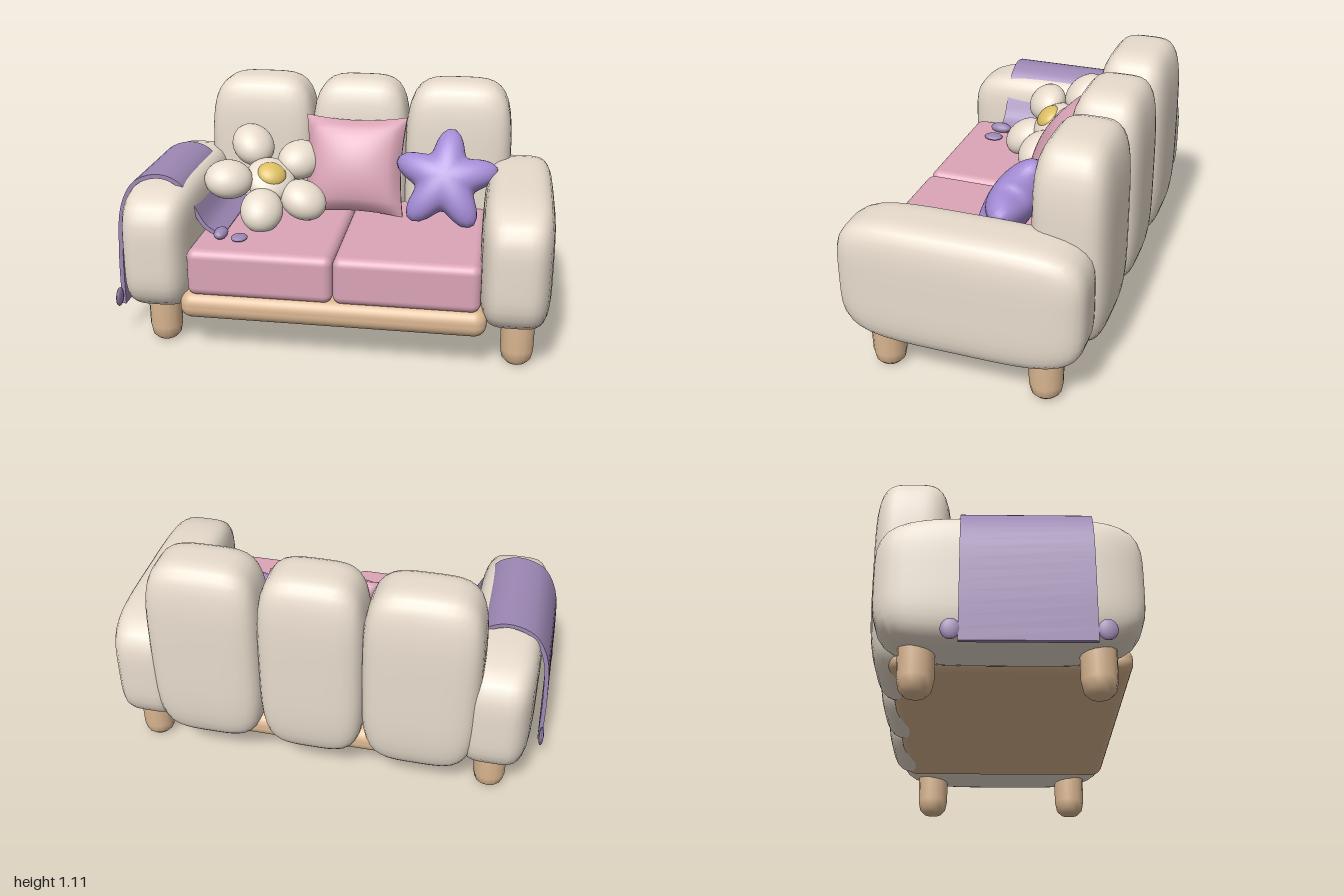
import * as THREE from 'three';
import { mergeVertices, toCreasedNormals } from 'three/addons/utils/BufferGeometryUtils.js';
import { RoundedBoxGeometry } from 'three/addons/geometries/RoundedBoxGeometry.js';

const mat = (color) => new THREE.MeshStandardMaterial({ color });
const CREAM = mat(0xe8dccd), PINK = mat(0xdba5b7), WOOD = mat(0xdcb892);
const LILAC = mat(0x9d88b5), VIOLET = mat(0xa48cd6), GOLD = mat(0xdcbe62);

// Move every vertex by a rule, weld the seams and smooth
function reshape(geometry, rule) {
  geometry.deleteAttribute('uv');
  geometry.deleteAttribute('normal');
  const p = geometry.attributes.position, v = new THREE.Vector3();
  for (let i = 0; i < p.count; i++) {
    rule(v.fromBufferAttribute(p, i));
    p.setXYZ(i, v.x, v.y, v.z);
  }
  const welded = mergeVertices(geometry, 1e-4);
  welded.computeVertexNormals();
  return welded;
}

// Puffy block between two corners; a higher power is squarer
function puff(min, max, power) {
  const half = max.map((m, i) => (m - min[i]) / 2);
  const g = reshape(new THREE.BoxGeometry(2, 2, 2, 12, 12, 12), (v) => {
    const s = Math.abs(v.x) ** power + Math.abs(v.y) ** power + Math.abs(v.z) ** power;
    v.multiplyScalar(s ** (-1 / power));
    v.set(v.x * half[0], v.y * half[1], v.z * half[2]);
  });
  return g.translate(...max.map((m, i) => (m + min[i]) / 2));
}

// Box with rounded edges between two corners
function block(min, max, radius) {
  const size = max.map((m, i) => m - min[i]);
  return new RoundedBoxGeometry(...size, 4, radius).translate(...max.map((m, i) => (m + min[i]) / 2));
}

export function createModel() {
  const sofa = new THREE.Group();
  sofa.name = 'sofa';
  const add = (name, geometry, material, parent = sofa) => {
    const mesh = new THREE.Mesh(geometry, material);
    mesh.name = name;
    parent.add(mesh);
    return mesh;
  };

  // Frame and seat
  add('base', block([-0.66, 0.165, -0.48], [0.72, 0.29, 0.535], 0.055), WOOD);
  add('rightSeatCushion', block([-0.62, 0.28, -0.32], [0.04, 0.5, 0.525], 0.04), PINK);
  add('leftSeatCushion', block([0.04, 0.28, -0.32], [0.69, 0.5, 0.525], 0.04), PINK);

  // Arms
  add('rightArm', puff([-0.94, 0.17, -0.53], [-0.605, 0.755, 0.565], 4.5), CREAM);
  add('leftArm', puff([0.675, 0.17, -0.53], [1, 0.755, 0.565], 4.5), CREAM);

  // Back cushions
  [[-0.705, -0.18], [-0.195, 0.285], [0.27, 0.79]].forEach(([a, b]) => {
    add('backCushion', puff([a, 0.165, -0.565], [b, 1.108, -0.225], 4.2), CREAM);
  });

  // Legs
  const legProfile = [[0, 0], [0.045, 0.003], [0.066, 0.025], [0.075, 0.07], [0.077, 0.25]]
    .map(([r, y]) => new THREE.Vector2(r, y));
  for (const x of [-0.77, 0.857]) {
    for (const z of [0.375, -0.35]) {
      add('leg', new THREE.LatheGeometry(legProfile, 14), WOOD).position.set(x, 0, z);
    }
  }

  // Square pillow: full in the middle, pinched edges, pointed corners
  const pillow = add('squarePillow', reshape(new THREE.BoxGeometry(2, 2, 2, 16, 16, 4), (v) => {
    const { x, y, z } = v;
    const full = Math.sqrt((1 - x * x) * (1 - y * y));
    v.set(0.245 * x * (1 - 0.08 * (1 - y * y)), 0.24 * y * (1 - 0.09 * (1 - x * x)), z * (0.012 + 0.1 * full));
  }), PINK);
  pillow.position.set(0.045, 0.72, -0.145);
  pillow.rotation.x = -0.33;

  // Star pillow: a flattened ball whose outline swells into five points
  const star = add('starPillow', reshape(new THREE.SphereGeometry(1, 50, 20).rotateX(Math.PI / 2), (v) => {
    const ring = Math.hypot(v.x, v.y);
    const lobe = Math.cos(5 * (Math.atan2(v.y, v.x) - Math.PI / 2));
    const r = 0.2 + 0.053 * lobe * ring;
    v.set(v.x * r, v.y * r, v.z * 0.105);
  }), VIOLET);
  star.position.set(0.49, 0.69, -0.07);
  star.rotation.set(-0.5, 0, -0.07);

  // Flower pillow: five flattened petals around a core
  const flower = new THREE.Group();
  flower.name = 'flowerPillow';
  sofa.add(flower);
  const core = new THREE.Vector3(-0.34, 0.68, 0.01);
  const up = new THREE.Vector3(0.3, 0.78, 0.55).normalize();
  const ball = (name, centre, along, scale, material) => {
    const x = along.clone().addScaledVector(up, -along.dot(up)).normalize();
    const y = new THREE.Vector3().crossVectors(up, x);
    const mesh = add(name, new THREE.SphereGeometry(1, 24, 16), material, flower);
    mesh.quaternion.setFromRotationMatrix(new THREE.Matrix4().makeBasis(x, y, up));
    mesh.position.copy(centre);
    mesh.scale.set(...scale);
  };
  [[-0.45, 0.81, -0.12], [-0.22, 0.745, -0.12], [-0.175, 0.595, 0.04],
    [-0.35, 0.575, 0.16], [-0.52, 0.7, 0.1]].forEach((p) => {
    const centre = new THREE.Vector3(...p);
    ball('petal', centre, centre.clone().sub(core), [0.115, 0.1, 0.078], CREAM);
  });
  const side = new THREE.Vector3(1, 0, 0);
  ball('flowerCore', core, side, [0.12, 0.12, 0.06], CREAM);
  ball('flowerCentre', core.clone().addScaledVector(up, 0.04), side, [0.07, 0.065, 0.04], GOLD);

  // Throw blanket draped over the right arm
  const drape = new THREE.CatmullRomCurve3([[-0.983, 0.14], [-0.98, 0.4], [-0.955, 0.63], [-0.89, 0.745],
    [-0.78, 0.782], [-0.69, 0.75], [-0.63, 0.655], [-0.57, 0.555], [-0.49, 0.508]]
    .map(([x, y]) => new THREE.Vector3(x, y, 0)));
  const outer = [], inner = [];
  for (let i = 0; i <= 40; i++) {
    const p = drape.getPoint(i / 40), t = drape.getTangent(i / 40);
    outer.push(new THREE.Vector2(p.x - t.y * 0.01, p.y + t.x * 0.01));
    inner.unshift(new THREE.Vector2(p.x + t.y * 0.01, p.y - t.x * 0.01));
  }
  const cloth = new THREE.ExtrudeGeometry(new THREE.Shape([...outer, ...inner]), { depth: 0.535, bevelEnabled: false });
  add('blanket', toCreasedNormals(cloth.translate(0, 0, -0.18), 0.7), LILAC);

  // Tassels at the blanket corners
  [[-0.988, 0.19, 0.39, 0.012, 0.045, 0.04], [-0.988, 0.19, -0.21, 0.012, 0.045, 0.04],
    [-0.497, 0.525, 0.35, 0.032, 0.025, 0.055], [-0.41, 0.512, 0.36, 0.038, 0.014, 0.048]]
    .forEach(([x, y, z, ...scale]) => {
      const tassel = add('tassel', new THREE.SphereGeometry(1, 12, 8), LILAC);
      tassel.position.set(x, y, z);
      tassel.scale.set(...scale);
    });

  return sofa;
}
